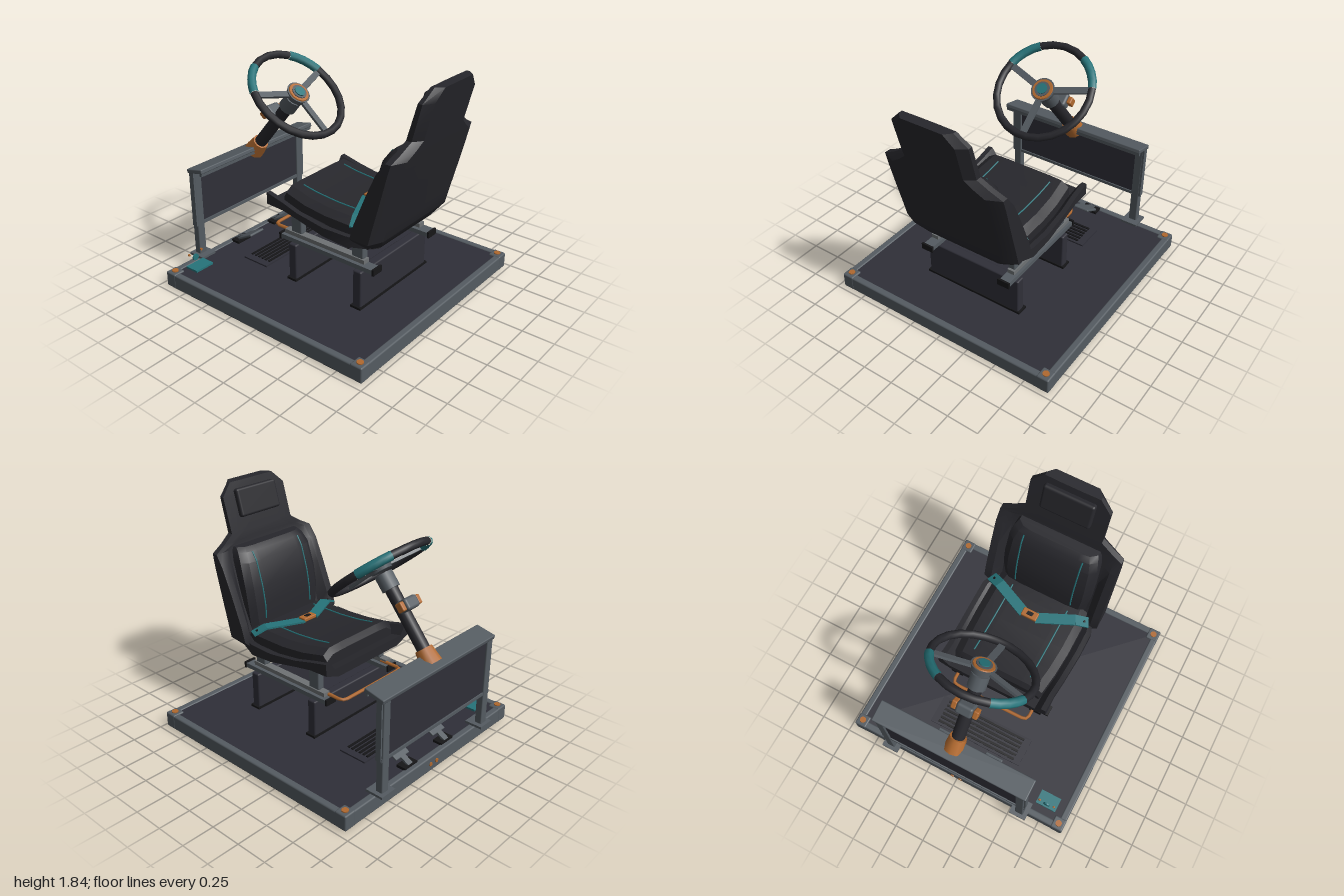
import * as THREE from 'three';
import { toCreasedNormals } from 'three/addons/utils/BufferGeometryUtils.js';
import { RoundedBoxGeometry } from 'three/addons/geometries/RoundedBoxGeometry.js';

const mat = (name, color) => Object.assign(new THREE.MeshStandardMaterial({ color }), { name });
const M = {
  seat: mat('seat charcoal', 0x27272c),
  deck: mat('deck slate', 0x2f2f38),
  frame: mat('frame grey', 0x545b61),
  rail: mat('rail silver', 0x6e7274),
  orange: mat('copper orange', 0xb0692f),
  teal: mat('teal', 0x26747a),
  black: mat('black', 0x161618),
};

function add(parent, name, geo, material, pos = [0, 0, 0], rot = [0, 0, 0]) {
  const m = new THREE.Mesh(geo, material);
  m.name = name;
  m.position.set(...pos);
  m.rotation.set(...rot);
  parent.add(m);
  return m;
}
const box = (w, h, d) => new THREE.BoxGeometry(w, h, d);
const soft = (w, h, d, r = 0.012) => new RoundedBoxGeometry(w, h, d, 2, r);
const cyl = (r1, r2, h, n = 16) => new THREE.CylinderGeometry(r1, r2, h, n);
const rod = (pts, r) => new THREE.TubeGeometry(
  new THREE.CatmullRomCurve3(pts.map(p => new THREE.Vector3(...p)), false, 'catmullrom', 0.2), 32, r, 6);

// Closed skin through symmetric sections; each is { at, half: [[x, v], ...] }
function loft(sections, axis) {
  const rings = sections.map(s => [...s.half, ...[...s.half].reverse().map(([x, v]) => [-x, v])]);
  const n = rings[0].length, pos = [], idx = [];
  rings.forEach((r, k) => r.forEach(([x, v]) =>
    pos.push(...(axis === 'y' ? [x, sections[k].at, v] : [x, v, sections[k].at]))));
  for (let k = 0; k < rings.length - 1; k++) for (let i = 0; i < n; i++) {
    const a = k * n + i, b = k * n + (i + 1) % n;
    idx.push(a, b, b + n, a, b + n, a + n);
  }
  [0, rings.length - 1].forEach(k => {
    const pts = rings[k].map(p => new THREE.Vector2(...p));
    const dir = THREE.ShapeUtils.area(pts) * (k ? 1 : -1);
    THREE.ShapeUtils.triangulateShape(pts.slice(), []).forEach(t => {
      const ok = THREE.ShapeUtils.area(t.map(i => pts[i])) * dir > 0;
      idx.push(...(ok ? t : [t[0], t[2], t[1]]).map(i => i + k * n));
    });
  });
  // turn the skin outwards
  const P = i => new THREE.Vector3(pos[i * 3], pos[i * 3 + 1], pos[i * 3 + 2]);
  let vol = 0;
  for (let i = 0; i < idx.length; i += 3) vol += P(idx[i]).dot(P(idx[i + 1]).cross(P(idx[i + 2])));
  if (vol < 0) idx.reverse();
  const g = new THREE.BufferGeometry();
  g.setAttribute('position', new THREE.Float32BufferAttribute(pos, 3));
  g.setIndex(idx);
  return toCreasedNormals(g, 0.5);
}

function buildPlatform(root) {
  const g = new THREE.Group(); g.name = 'platform'; root.add(g);
  add(g, 'deck', box(1.84, 0.1, 1.84), M.deck, [0, 0.07, 0.015]);
  add(g, 'underside', box(1.88, 0.01, 1.88), M.black, [0, 0.005, 0.015]);
  for (const s of [-1, 1]) {
    add(g, 'sideBeam', soft(0.055, 0.12, 1.9), M.frame, [s * 0.925, 0.067, 0.015]);
    add(g, 'endBeam', soft(1.9, 0.12, 0.055), M.frame, [0, 0.067, 0.015 + s * 0.925]);
    for (const t of [-1, 1]) {
      add(g, 'cornerCap', soft(0.1, 0.124, 0.1), M.frame, [s * 0.905, 0.07, 0.015 + t * 0.905]);
      add(g, 'cornerBolt', cyl(0.026, 0.026, 0.012, 10), M.orange, [s * 0.905, 0.134, 0.015 + t * 0.905]);
    }
    add(g, 'rearLamp', cyl(0.016, 0.016, 0.01, 10), M.orange, [s * 0.035, 0.07, -0.94], [Math.PI / 2, 0, 0]);
  }
  // ridged foot mat
  add(g, 'footMat', box(0.82, 0.012, 0.24), M.deck, [0, 0.126, -0.51]);
  for (let i = 0; i < 6; i++) add(g, 'matRidge', box(0.7, 0.01, 0.018), M.black, [0, 0.135, -0.6 + i * 0.036]);
  // pedals
  for (const s of [-1, 1]) {
    add(g, 'pedal', soft(0.15, 0.02, 0.17, 0.008), M.frame, [s * 0.215, 0.212, -0.745], [-0.49, 0, 0]);
    add(g, 'pedalArm', box(0.05, 0.018, 0.12), M.frame, [s * 0.215, 0.165, -0.835], [-0.49, 0, 0]);
    add(g, 'pedalBase', box(0.14, 0.02, 0.08), M.black, [s * 0.215, 0.13, -0.86]);
  }
  // small switch unit
  add(g, 'switchPlate', box(0.17, 0.016, 0.115), M.teal, [-0.755, 0.156, -0.773]);
  add(g, 'switchKnob', cyl(0.027, 0.027, 0.012, 14), M.teal, [-0.755, 0.215, -0.815], [Math.PI / 2, 0, 0]);
  for (const s of [-1, 1])
    add(g, 'switchStud', cyl(0.01, 0.01, 0.012, 8), M.orange, [-0.755 + s * 0.062, 0.258, -0.815], [Math.PI / 2, 0, 0]);
}

function buildConsole(root) {
  const g = new THREE.Group(); g.name = 'console'; root.add(g);
  for (const s of [-1, 1]) {
    add(g, 'post', soft(0.068, 0.75, 0.058, 0.008), M.frame, [s * 0.588, 0.5, -0.94]);
    add(g, 'postFoot', box(0.14, 0.018, 0.145), M.frame, [s * 0.585, 0.138, -0.925]);
    add(g, 'panelEdge', box(0.025, 0.46, 0.045), M.frame, [s * 0.622, 0.63, -0.935]);
  }
  add(g, 'panel', box(1.22, 0.44, 0.03), M.deck, [0, 0.635, -0.94]);
  add(g, 'lowerBeam', box(1.26, 0.025, 0.05), M.frame, [0, 0.41, -0.94]);
  add(g, 'shelf', soft(1.28, 0.035, 0.168, 0.008), M.frame, [0, 0.882, -0.892], [-0.22, 0, 0]);
  add(g, 'shelfLip', box(1.27, 0.04, 0.02), M.frame, [0, 0.876, -0.825]);
}

function buildSteering(root) {
  // local z runs along the column towards the driver
  const g = new THREE.Group(); g.name = 'steering'; root.add(g);
  g.position.set(0, 1.444, -0.39);
  g.rotation.x = -0.88;
  const along = (name, r1, r2, from, to, m, n) =>
    add(g, name, cyl(r1, r2, to - from, n), m, [0, 0, (from + to) / 2], [Math.PI / 2, 0, 0]);
  const D = Math.PI / 180;
  const arc = (name, a, b, r, m) =>
    add(g, name, new THREE.TorusGeometry(0.38, r, 8, Math.max(4, Math.round((b - a) / 15)), (b - a) * D), m, [0, 0, 0], [0, 0, a * D]);
  arc('rimTop', 60, 120, 0.03, M.seat);
  arc('rimLower', 160, 380, 0.03, M.seat);
  for (const a of [20, 120]) arc('rimGrip', a, a + 40, 0.034, M.teal);
  for (const a of [18, 162, 270])
    add(g, 'spoke', box(0.31, 0.05, 0.02), M.frame, [Math.cos(a * D) * 0.215, Math.sin(a * D) * 0.215, -0.005], [0, 0, a * D]);
  along('hub', 0.095, 0.08, -0.03, 0.02, M.frame, 20);
  along('hubRing', 0.08, 0.085, 0.015, 0.028, M.orange, 20);
  along('hubFace', 0.06, 0.06, 0.025, 0.034, M.frame, 20);
  along('hubButton', 0.042, 0.042, 0.03, 0.042, M.teal, 16);
  along('collar', 0.07, 0.07, -0.17, -0.05, M.frame, 12);
  along('column', 0.05, 0.05, -0.74, -0.15, M.seat, 14);
  along('columnBase', 0.065, 0.082, -0.76, -0.64, M.orange, 10);
  add(g, 'clampBlock', soft(0.13, 0.11, 0.09, 0.02), M.frame, [0, 0.07, -0.32]);
  for (const s of [-1, 1]) add(g, 'clampLever', soft(0.04, 0.06, 0.07, 0.01), M.orange, [s * 0.085, 0.08, -0.32]);
}

function buildBase(root) {
  const g = new THREE.Group(); g.name = 'seatBase'; root.add(g);
  for (const z of [0.508, -0.105]) {
    add(g, 'pedestal', soft(0.83, 0.31, 0.074, 0.012), M.deck, [0, 0.275, z]);
    add(g, 'pedestalFlange', box(0.86, 0.018, 0.09), M.black, [0, 0.134, z]);
  }
  for (const s of [-1, 1]) {
    add(g, 'lowerRail', box(0.085, 0.035, 0.87), M.frame, [s * 0.35, 0.453, 0.197]);
    add(g, 'upperRail', box(0.06, 0.032, 0.75), M.rail, [s * 0.35, 0.5, 0.17]);
    for (const z of [0.635, -0.24]) add(g, 'railCap', box(0.1, 0.05, 0.016), M.black, [s * 0.35, 0.457, z]);
    for (const [z, top] of [[0.48, 0.66], [-0.095, 0.71]])
      add(g, 'seatBracket', soft(0.06, top - 0.515, 0.1, 0.01), M.frame, [s * 0.345, (top + 0.515) / 2, z]);
  }
  add(g, 'slideHandle', rod([[-0.33, 0.493, -0.15], [-0.33, 0.493, -0.32], [-0.28, 0.493, -0.35],
    [0.28, 0.493, -0.35], [0.33, 0.493, -0.32], [0.33, 0.493, -0.15]], 0.014), M.orange);
}

function buildSeat(root) {
  const g = new THREE.Group(); g.name = 'seat'; root.add(g);
  // backrest shell: height, half width, rear z, wing front z, inner z
  const shell = [[0.585, 0.2, 0.575, 0.5, 0.5], [0.63, 0.4, 0.64, 0.5, 0.53], [0.73, 0.5, 0.712, 0.505, 0.58],
    [0.85, 0.5, 0.743, 0.54, 0.61], [1.1, 0.5, 0.81, 0.64, 0.69], [1.28, 0.5, 0.856, 0.72, 0.75],
    [1.37, 0.495, 0.88, 0.785, 0.79], [1.42, 0.4, 0.893, 0.8, 0.8], [1.48, 0.31, 0.908, 0.815, 0.815],
    [1.75, 0.31, 0.978, 0.893, 0.893], [1.842, 0.215, 1.0, 0.922, 0.92]];
  add(g, 'backrestShell', loft(shell.map(([at, w, zb, zw, zi]) => ({
    at, half: [[w * 0.78, zb], [w, zb - 0.05], [w, zw], [w - 0.06, zw], [w - 0.12, zi]] })), 'y'), M.seat);
  // backrest cushion: height, half width, front z, back z
  const pad = [[0.74, 0.35, 0.54, 0.64], [0.95, 0.37, 0.545, 0.7], [1.1, 0.37, 0.57, 0.74],
    [1.29, 0.36, 0.625, 0.79], [1.36, 0.34, 0.67, 0.81], [1.39, 0.32, 0.71, 0.82]];
  add(g, 'backrestCushion', loft(pad.map(([at, w, zf, zb]) => ({
    at, half: [[w, zb], [w, zf + 0.05], [w - 0.05, zf + 0.01], [0.2, zf]] })), 'y'), M.seat);
  add(g, 'headrestPad', soft(0.4, 0.22, 0.07, 0.02), M.seat, [0, 1.685, 0.868], [0.275, 0, 0]);
  // seat pan: z, half width, bottom y, rim y, inner y
  const pan = [[0.61, 0.42, 0.6, 0.7, 0.67], [0.45, 0.48, 0.59, 0.725, 0.69], [0.25, 0.48, 0.603, 0.72, 0.69],
    [0, 0.47, 0.65, 0.75, 0.7], [-0.15, 0.46, 0.672, 0.785, 0.72], [-0.305, 0.46, 0.678, 0.822, 0.75]];
  add(g, 'seatPan', loft(pan.map(([at, w, yb, yt, yi]) => ({
    at, half: [[w * 0.72, yb], [w, yb + 0.05], [w, yt], [w - 0.04, yt], [w - 0.09, yi]] })), 'z'), M.seat);
  // seat cushion: z, half width, top y
  const cush = [[0.58, 0.38, 0.8], [0.44, 0.4, 0.81], [0.2, 0.4, 0.813], [0, 0.39, 0.83], [-0.19, 0.37, 0.865], [-0.22, 0.36, 0.82]];
  add(g, 'seatCushion', loft(cush.map(([at, w, y]) => ({
    at, half: [[w, 0.68], [w, y - 0.045], [w - 0.06, y - 0.005], [0.2, y]] })), 'z'), M.seat);
  // teal stitching and lap belt
  for (const s of [-1, 1]) {
    const x = s * 0.24;
    add(g, 'cushionStitch', rod([[x, 0.811, 0.5], [x, 0.814, 0.2], [x, 0.831, 0], [x, 0.853, -0.13]], 0.006), M.teal);
    add(g, 'backStitch', rod([[x, 0.84, 0.542], [x, 0.95, 0.546], [x, 1.1, 0.571], [x, 1.29, 0.627], [x, 1.36, 0.672]], 0.006), M.teal);
    const belt = new THREE.Group(); belt.name = 'lapBelt';
    belt.position.set(s * 0.05, 0.825, 0.325);
    belt.rotation.y = s > 0 ? -0.43 : Math.PI + 0.43;
    g.add(belt);
    add(belt, 'beltStrap', box(0.31, 0.014, 0.085), M.teal, [0.155, 0, 0]);
    add(belt, 'beltEnd', box(0.115, 0.014, 0.085), M.teal, [0.36, -0.02, 0], [0, 0, -0.4]);
    add(belt, 'beltRivet', cyl(0.01, 0.01, 0.012, 8), M.black, [0.38, -0.02, 0], [0, 0, -0.4]);
  }
  add(g, 'buckle', soft(0.13, 0.03, 0.07, 0.008), M.orange, [0, 0.832, 0.33]);
  add(g, 'buckleButton', box(0.05, 0.008, 0.03), M.black, [0, 0.847, 0.33]);
}

export function createModel() {
  const root = new THREE.Group();
  root.name = 'drivingSimulatorRig';
  [buildPlatform, buildConsole, buildSteering, buildBase, buildSeat].forEach(f => f(root));
  return root;
}
